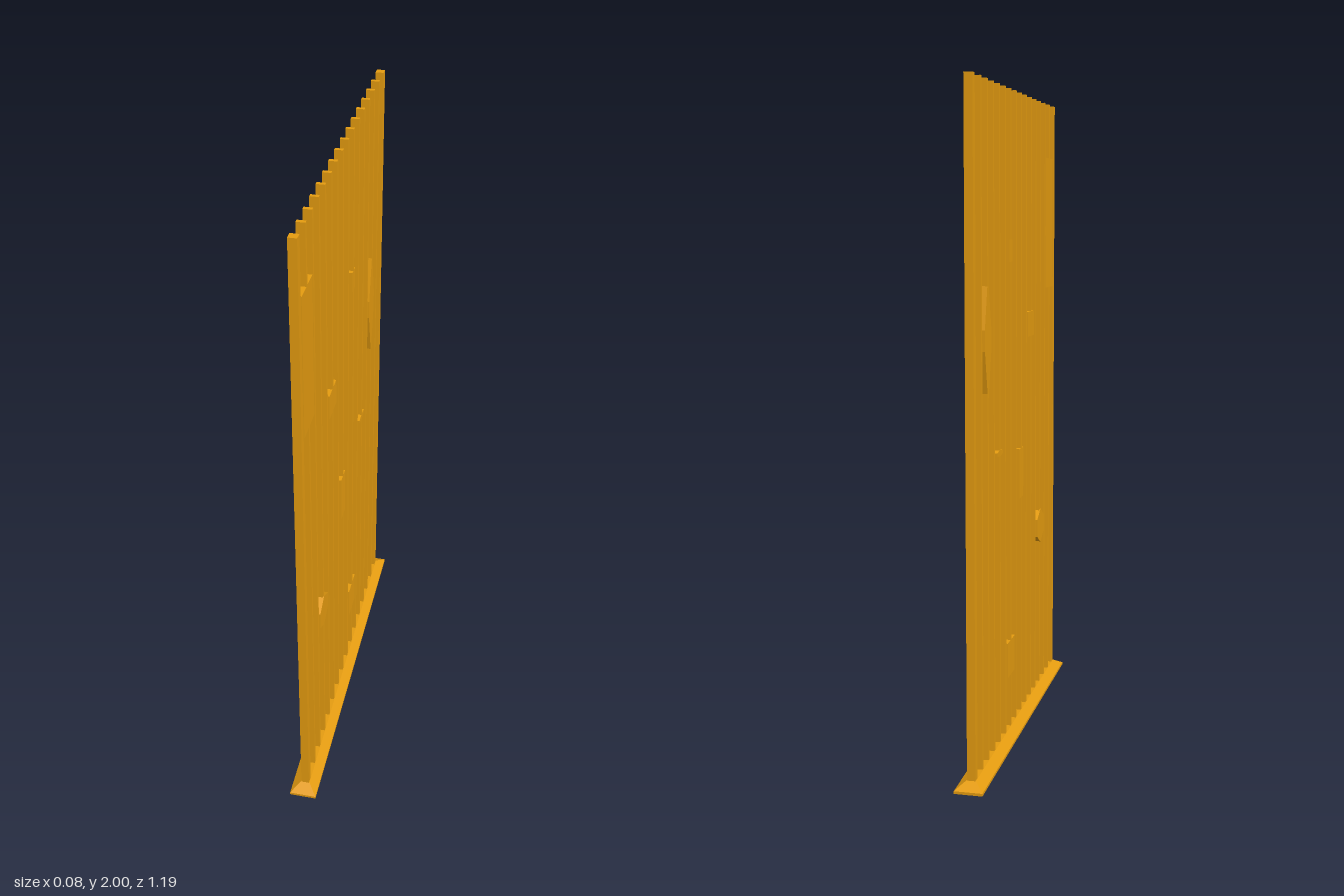
import * as THREE from 'three';

const DEPTH = 0.025;

export function createModel() {
  const model = new THREE.Group();
  model.name = 'screenDivider';
  const material = new THREE.MeshStandardMaterial({ color: 0xe59c10, flatShading: true });

  const add = (geometry, name, x, y, z) => {
    const mesh = new THREE.Mesh(geometry, material);
    mesh.name = name;
    mesh.position.set(x, y, z);
    model.add(mesh);
    return mesh;
  };

  // Base: a low lip, then four faces sloping up to a narrow top
  const base = new THREE.BoxGeometry(0.084, 0.028, 1.19, 1, 2, 1);
  const p = base.attributes.position;
  for (let i = 0; i < p.count; i++) {
    const y = p.getY(i);
    if (y > 0.001) p.setXYZ(i, Math.sign(p.getX(i)) * 0.014, y, Math.sign(p.getZ(i)) * 0.558);
    else if (y > -0.001) p.setY(i, -0.006);
  }
  base.computeVertexNormals();
  add(base, 'base', 0, 0.014, 0);

  // Upright bars, with a thicker post at each end
  const bar = (name, z, width) =>
    add(new THREE.BoxGeometry(DEPTH, 1.98, width), name, 0, 1.01, z);
  for (const side of [1, -1]) bar('endPost', side * 0.547, 0.024);
  for (let i = 0; i < 14; i++) bar('thinBar', (6.5 - i) * 0.0722, 0.012);

  // Rectangular plaques: centre z, centre y, width, height
  const plaques = [
    [0.469, 1.604, 0.116, 0.435],
    [0.180, 1.281, 0.090, 0.080],
    [0.037, 0.815, 0.055, 0.159],
    [-0.107, 1.521, 0.037, 0.067],
    [-0.107, 0.252, 0.096, 0.112],
  ];
  for (const [z, y, w, h] of plaques) {
    add(new THREE.BoxGeometry(DEPTH, h, w), 'rectangularPlaque', 0, y, z);
  }

  // Pointed six-sided plaques: centre z, centre y, width, height, side height, depth
  const pointed = [
    [0.327, 0.579, 0.104, 0.117, 0.058, 0.029],
    [-0.395, 1.274, 0.076, 0.372, 0.060, DEPTH],
    [-0.252, 0.925, 0.072, 0.020, 0.010, DEPTH],
  ];
  for (const [z, y, w, h, s, d] of pointed) {
    const outline = new THREE.Shape([
      [0, -h / 2], [w / 2, -s / 2], [w / 2, s / 2],
      [0, h / 2], [-w / 2, s / 2], [-w / 2, -s / 2],
    ].map(([a, b]) => new THREE.Vector2(a, b)));
    const geometry = new THREE.ExtrudeGeometry(outline, { depth: d, bevelEnabled: false });
    geometry.translate(0, 0, -d / 2).rotateY(Math.PI / 2);
    add(geometry, 'hexagonalPlaque', 0, y, z);
  }

  return model;
}
